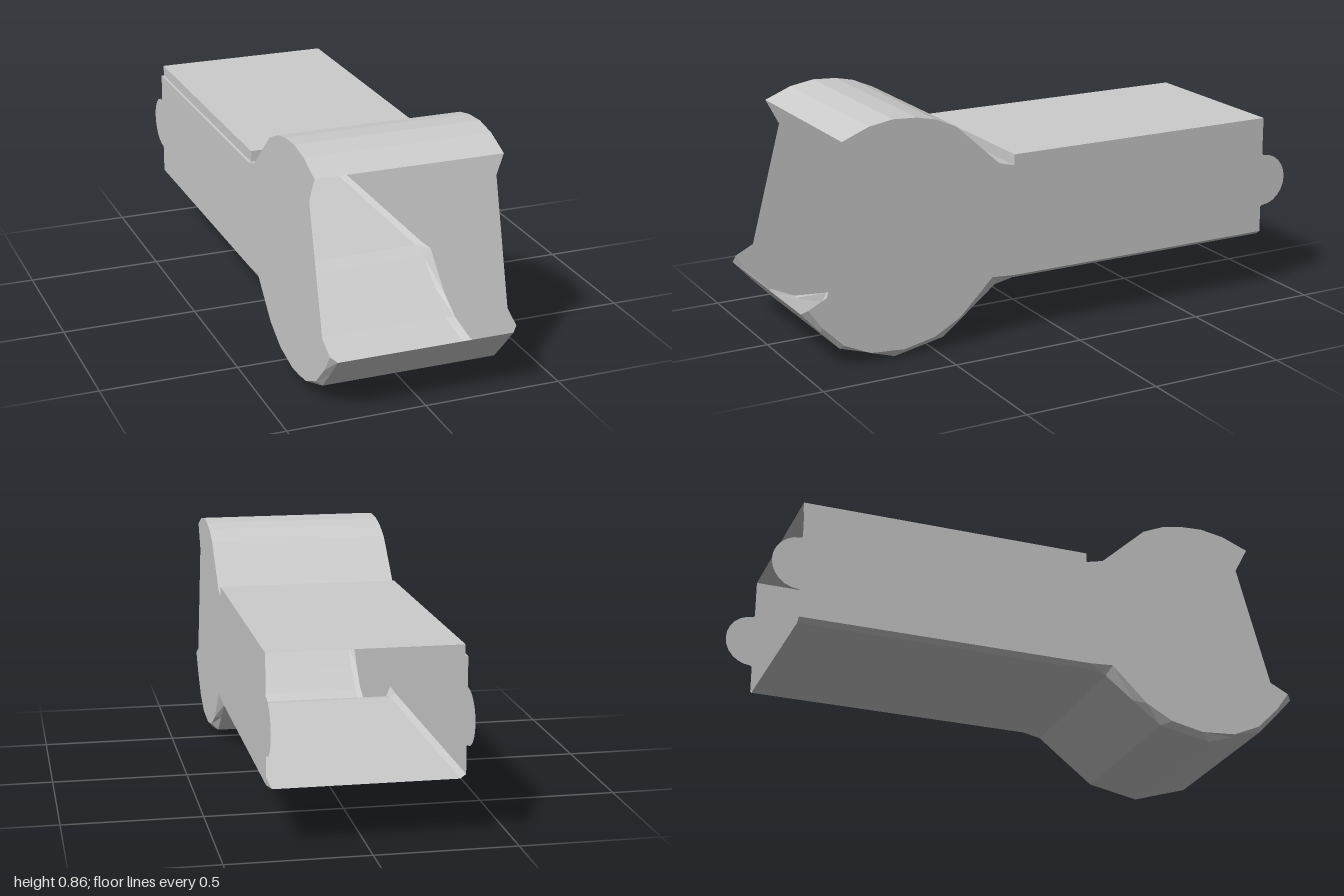
import * as THREE from 'three';

const material = new THREE.MeshStandardMaterial({ color: 0xcccccc, side: THREE.DoubleSide, flatShading: true });

// Thin sheet lofted through a list of rails (each a list of [x, y, z] points)
function sheet(name, rails) {
  const pos = [];
  for (let r = 0; r < rails.length - 1; r++) {
    for (let i = 0; i < rails[r].length - 1; i++) {
      const a = rails[r][i], b = rails[r + 1][i], c = rails[r + 1][i + 1], d = rails[r][i + 1];
      pos.push(...a, ...b, ...c, ...a, ...c, ...d);
    }
  }
  const geo = new THREE.BufferGeometry();
  geo.setAttribute('position', new THREE.Float32BufferAttribute(pos, 3));
  geo.computeVertexNormals();
  const mesh = new THREE.Mesh(geo, material);
  mesh.name = name;
  return mesh;
}

const at = (x, profile) => profile.map(([z, y]) => [x, y, z]);

// Profiles as [z, y]
const hood = [[0.18, 0.64], [0.24, 0.655], [0.41, 0.81], [0.49, 0.845], [0.56, 0.86],
  [0.65, 0.865], [0.74, 0.85], [0.84, 0.81]];
const wallBottom = [[-0.895, 0.232], [0.18, 0.232], [0.27, 0.238], [0.40, 0.11], [0.50, 0.055],
  [0.62, 0.03], [0.75, 0.04], [0.85, 0.085], [0.93, 0.165], [0.98, 0.235]];
const sheetBottom = [[-0.895, 0.217], [0.18, 0.217], [0.25, 0.203], [0.355, 0.121], [0.46, 0.04],
  [0.65, 0.003], [0.755, 0.037], [0.86, 0.07], [0.93, 0.143], [1, 0.22]];

// Side wall with rounded tab at the back and a slanted front opening
function wall(name, x, top) {
  const s = new THREE.Shape();
  wallBottom.forEach(([z, y], i) => (i ? s.lineTo(z, y) : s.moveTo(z, y)));
  s.lineTo(0.91, 0.27);
  s.lineTo(0.79, 0.715);
  [...hood].reverse().forEach(([z, y]) => s.lineTo(z, y));
  if (top > 0.64) s.lineTo(0.18, top);
  s.lineTo(-0.895, top);
  s.lineTo(-0.895, 0.54);
  for (let i = 0; i <= 12; i++) {
    const a = Math.PI / 2 + (Math.PI * i) / 12;
    s.lineTo(-0.9 + 0.1 * Math.cos(a), 0.435 + 0.1 * Math.sin(a));
  }
  s.lineTo(-0.895, 0.33);
  const mesh = new THREE.Mesh(new THREE.ShapeGeometry(s), material);
  mesh.geometry.rotateY(-Math.PI / 2);
  mesh.position.x = x;
  mesh.name = name;
  return mesh;
}

export function createModel() {
  const group = new THREE.Group();
  group.name = 'foldedScoop';

  group.add(wall('leftWall', 0.34, 0.68), wall('rightWall', -0.34, 0.64));

  // Bottom sheet with a narrow bevel along both walls
  group.add(sheet('bottomSheet', [
    at(-0.34, wallBottom), at(-0.32, sheetBottom), at(0.32, sheetBottom), at(0.34, wallBottom),
  ]));

  // Curved hood over the front opening
  group.add(sheet('hood', [at(-0.34, hood), at(0.34, hood)]));

  // Top panel with a folded flap and small ledge on the right, and a step at the front
  const run = (x, y) => at(x, [[-0.895, y], [0.18, y]]);
  group.add(sheet('topPanel', [run(-0.34, 0.64), run(-0.33, 0.64), run(-0.33, 0.68), run(0.34, 0.68)]));
  const step = [[0.18, 0.64], [0.18, 0.68]];
  group.add(sheet('frontStep', [at(-0.33, step), at(0.34, step)]));

  return group;
}
